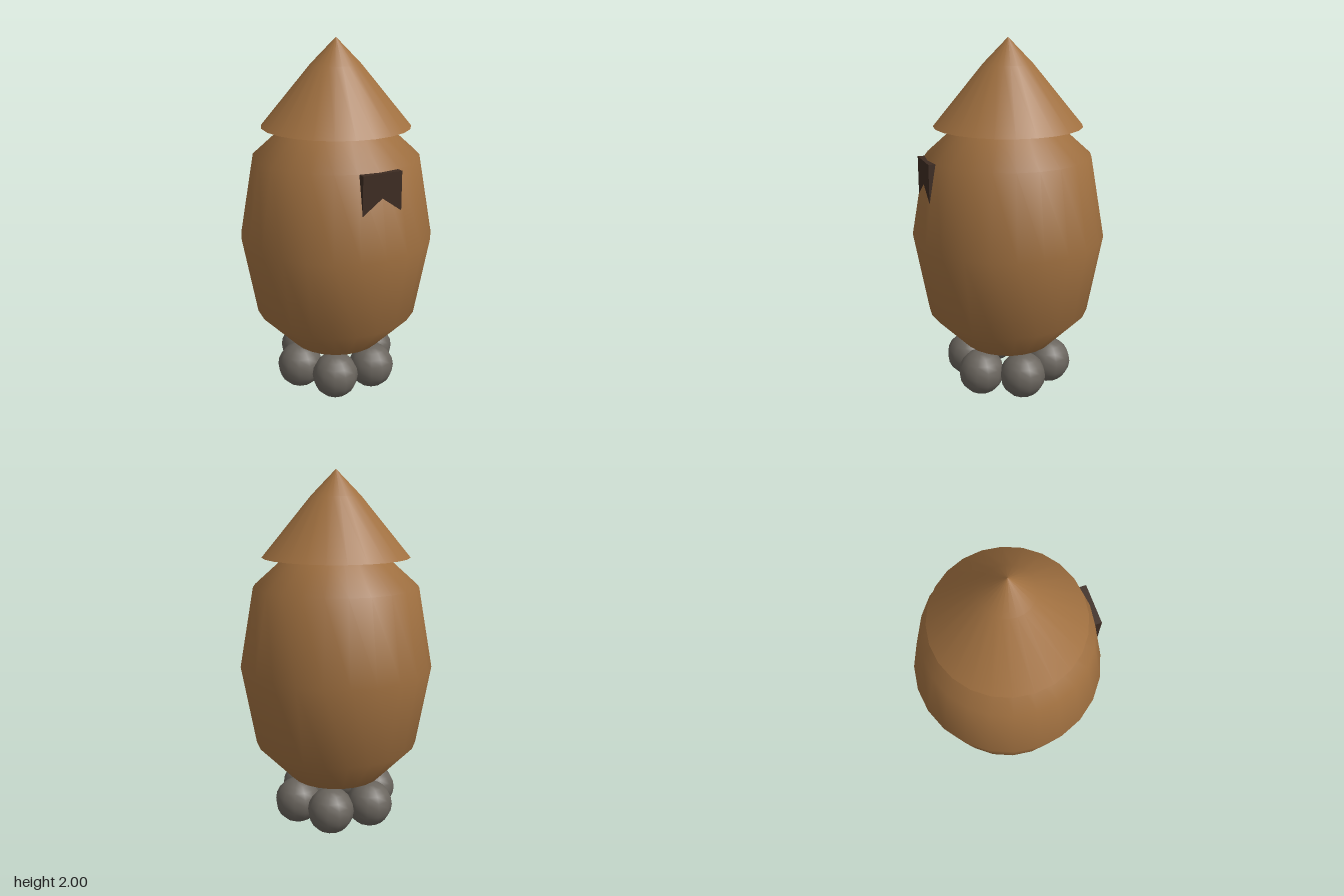
import * as THREE from 'three';

const SIDES = 24;

export function createModel() {
  const model = new THREE.Group();
  const wood = new THREE.MeshStandardMaterial({ name: 'warm brown', color: 0xa07040 });
  const stone = new THREE.MeshStandardMaterial({ name: 'stone grey', color: 0x69645d });
  const dark = new THREE.MeshStandardMaterial({ name: 'dark brown', color: 0x3d2c22 });

  const add = (name, geometry, material, parent = model) => {
    const mesh = new THREE.Mesh(geometry, material);
    mesh.name = name;
    parent.add(mesh);
    return mesh;
  };
  const lathe = (profile) =>
    new THREE.LatheGeometry(profile.map(([r, y]) => new THREE.Vector2(r, y)), SIDES);
  // Flat disc that closes a turned part from below
  const underside = (name, radius, y) => {
    const disc = new THREE.CircleGeometry(radius, SIDES).rotateX(Math.PI / 2);
    add(name, disc, wood).position.y = y;
  };

  // Barrel-shaped body, running up inside the roof
  add('body', lathe([[0.265, 0.267], [0.46, 0.47], [0.54, 0.92], [0.46, 1.37], [0.265, 1.545]]), wood);
  underside('bodyUnderside', 0.265, 0.267);

  // Conical roof with a slightly blunter tip
  add('roof', lathe([[0.41, 1.53], [0.137, 1.86], [0, 2]]), wood);
  underside('roofUnderside', 0.41, 1.53);

  // Notched plate set into the front of the body
  const outline = new THREE.Shape([
    [-0.115, 1.37], [-0.115, 1.16], [0, 1.24], [0.115, 1.16], [0.115, 1.37],
  ].map(([x, y]) => new THREE.Vector2(x, y)));
  const plate = new THREE.ExtrudeGeometry(outline, { depth: 0.04, bevelEnabled: false });
  add('notchedPlate', plate, dark).position.z = 0.443;

  // Ring of six stones under the body
  const stones = new THREE.Group();
  stones.name = 'stoneRing';
  model.add(stones);
  const ball = new THREE.SphereGeometry(0.13, 12, 10);
  for (let i = 0; i < 6; i++) {
    const a = (i * Math.PI) / 3;
    add('stone', ball, stone, stones).position.set(0.24 * Math.cos(a), 0.13, 0.24 * Math.sin(a));
  }
  return model;
}
